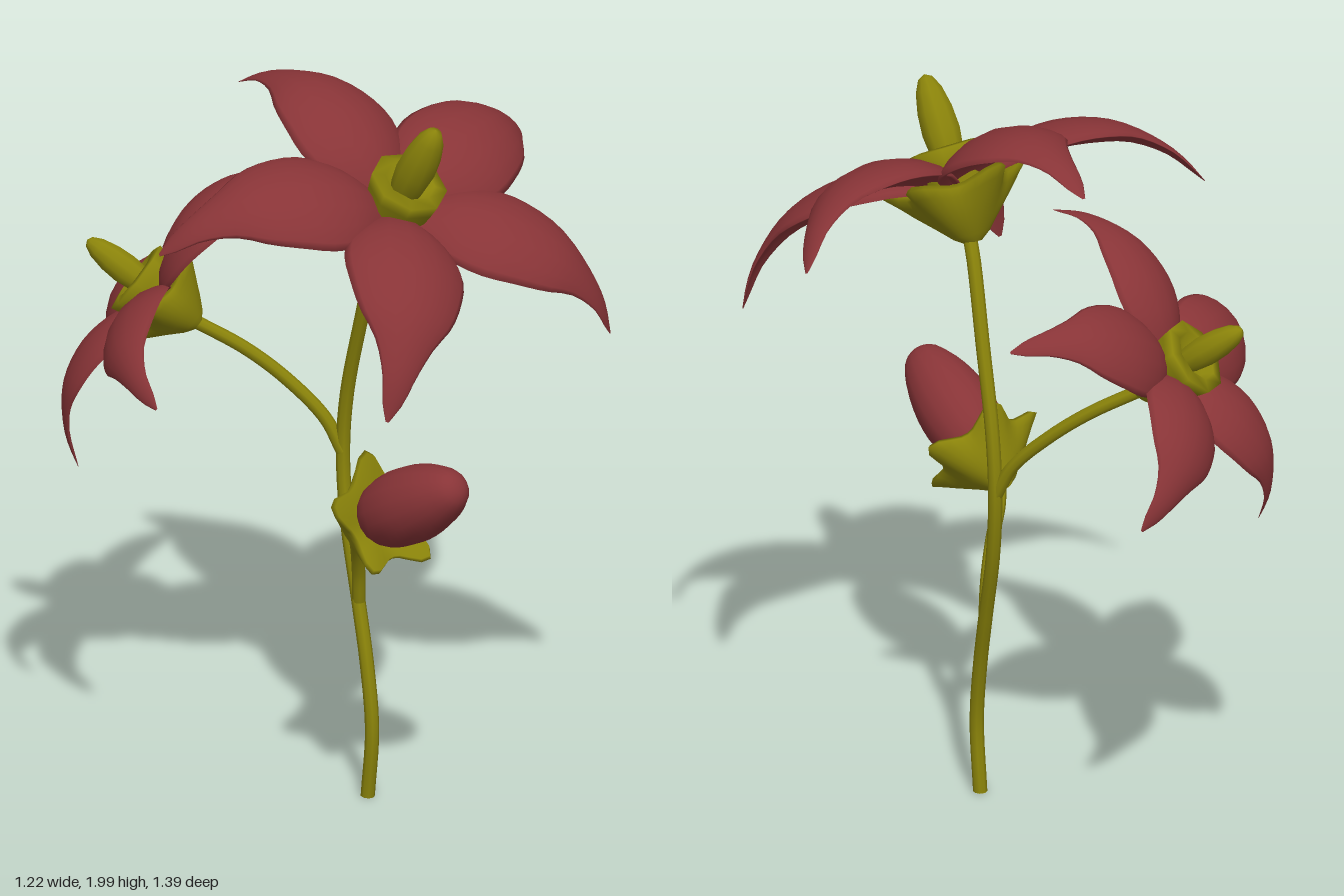
import * as THREE from 'three';

const V = (x, y, z) => new THREE.Vector3(x, y, z);
const UP = V(0, 1, 0);
const red = new THREE.MeshStandardMaterial({ color: 0x883437, side: THREE.DoubleSide });
const green = new THREE.MeshStandardMaterial({ color: 0x8a830a, side: THREE.DoubleSide });

function mesh(name, geometry, material) {
  const m = new THREE.Mesh(geometry, material);
  m.name = name;
  return m;
}

// Skin of closed rings: point(row, angle) gives each vertex
function loft(rows, cols, point) {
  const pos = [], index = [];
  for (let i = 0; i < rows; i++) {
    for (let j = 0; j < cols; j++) {
      pos.push(...point(i, (j / cols) * Math.PI * 2));
      if (i === rows - 1) continue;
      const a = i * cols + j, c = i * cols + ((j + 1) % cols);
      index.push(a, a + cols, c, c, a + cols, c + cols);
    }
  }
  const g = new THREE.BufferGeometry();
  g.setAttribute('position', new THREE.Float32BufferAttribute(pos, 3));
  g.setIndex(index);
  g.computeVertexNormals();
  return g;
}

const spline = (pts) => new THREE.SplineCurve(pts.map(([x, y]) => new THREE.Vector2(x, y)));
const lathe = (pts, sides) => new THREE.LatheGeometry(pts.map(([r, h]) => new THREE.Vector2(r, h)), sides);

// Arched petal running out along +x, with a cupped lens cross-section and a blunt tip
function petalGeometry() {
  const spine = spline([[0.04, -0.02], [0.15, 0.04], [0.3, 0.062], [0.45, 0.03], [0.57, -0.055], [0.645, -0.16]]);
  const width = spline([[0, 0.06], [0.08, 0.1], [0.22, 0.147], [0.4, 0.168], [0.58, 0.157], [0.72, 0.13], [0.87, 0.082], [0.95, 0.05], [0.985, 0.03], [1, 0.004]]);
  const rows = 22;
  return loft(rows, 16, (i, a) => {
    const t = i / (rows - 1);
    const p = spine.getPoint(t), d = spine.getTangent(t);
    const w = width.getPoint(t).y;
    const side = Math.sin(a);
    const thick = 0.14 * w * Math.cos(a);
    const droop = (0.36 - 0.12 * t) * w * side * side;
    return [p.x - d.y * thick, p.y + d.x * thick - droop, -w * side];
  });
}

// Five-pointed cup; rim at height 0, foot at -0.18. Columns: radius, height, lobe depth
function calyxGeometry() {
  const rings = [
    [0.022, -0.185, 0], [0.05, -0.165, 0.01], [0.088, -0.125, 0.05], [0.124, -0.085, 0.11],
    [0.15, -0.05, 0.17], [0.168, -0.024, 0.22], [0.16, -0.014, 0.21], [0.1, -0.035, 0.1], [0.001, -0.05, 0],
  ];
  return loft(rings.length, 40, (i, a) => {
    const [r, h, lobe] = rings[i];
    const star = Math.cos(5 * a) + 0.15 * Math.cos(10 * a);
    const rr = r * (1 + lobe * star);
    return [rr * Math.cos(a), h + 0.06 * lobe * star, rr * Math.sin(a)];
  });
}

const petalShape = petalGeometry();
const calyxShape = calyxGeometry();

// Group whose +y follows the given axis
function head(name, centre, axis, scale) {
  const g = new THREE.Group();
  g.name = name;
  g.position.copy(centre);
  g.quaternion.setFromUnitVectors(UP, axis.clone().normalize());
  g.scale.setScalar(scale);
  return g;
}

// Angle, distance and height of a point around the axis of a head
function around(group, point) {
  const p = point.clone().sub(group.position).applyQuaternion(group.quaternion.clone().invert());
  p.divideScalar(group.scale.x);
  return { angle: Math.atan2(p.z, p.x), radius: Math.hypot(p.x, p.z), height: p.y };
}

function flower(name, centre, axis, scale, tips) {
  const g = head(name, centre, axis, scale);
  // petals aim at their tips
  tips.forEach((tip) => {
    const { angle, radius, height } = around(g, tip);
    const petal = mesh('petal', petalShape, red);
    petal.rotation.set(0, -angle, (height + 0.16) / radius, 'YXZ');
    petal.scale.x = radius / 0.645;
    g.add(petal);
  });
  // sepals lie beneath the petals, slightly turned
  const calyx = mesh('calyx', calyxShape, green);
  calyx.rotation.y = -around(g, tips[0]).angle + 0.15;
  // eight-sided cup, equally wide on each flower, and tapered pistil
  const cup = mesh('centreCup', lathe([[0.085, -0.04], [0.1, 0.035], [0.106, 0.075], [0.07, 0.08], [0.055, 0.045], [0, 0.035]], 8), green);
  cup.scale.set(1 / scale, 1, 1 / scale);
  const pistil = mesh('pistil', lathe([[0.03, 0], [0.046, 0.06], [0.053, 0.12], [0.049, 0.18], [0.037, 0.235], [0.02, 0.268], [0, 0.278]], 10), green);
  g.add(calyx, cup, pistil);
  return g;
}

function bud(centre, axis, scale) {
  const g = head('bud', centre, axis, scale);
  const calyx = mesh('budCalyx', calyxShape, green);
  calyx.rotation.y = Math.PI / 2 - 0.2; // one sepal points nearly up
  const closed = spline([[0.05, -0.08], [0.1, -0.02], [0.12, 0.07], [0.12, 0.16], [0.1, 0.26], [0.065, 0.34], [0.03, 0.37], [0, 0.375]]);
  const petals = mesh('closedPetals', new THREE.LatheGeometry(closed.getPoints(18).map((p) => p.setX(Math.max(0, p.x))), 16), red);
  g.add(calyx, petals);
  return g;
}

function stem(name, radius, points) {
  const curve = new THREE.CatmullRomCurve3(points.map((p) => V(...p)));
  return mesh(name, new THREE.TubeGeometry(curve, 40, radius, 8), green);
}

export function createModel() {
  const model = new THREE.Group();
  model.name = 'flowerSpray';

  // Stems
  model.add(
    stem('mainStem', 0.019, [
      [-0.01, 0.005, 0.148], [-0.013, 0.2, 0.165], [0, 0.37, 0.138], [0.025, 0.54, 0.088], [0.054, 0.75, 0.026],
      [0.066, 0.93, 0.004], [0.06, 1.1, 0.022], [0.035, 1.33, 0.088], [0, 1.55, 0.165], [-0.01, 1.61, 0.195],
    ]),
    stem('backStem', 0.018, [
      [0.064, 0.93, 0.004], [0.045, 1.02, -0.04], [0, 1.12, -0.13], [-0.06, 1.205, -0.225], [-0.15, 1.29, -0.345],
    ]),
    stem('budStem', 0.018, [
      [0.025, 0.53, 0.09], [0.005, 0.63, 0.105], [-0.04, 0.725, 0.135], [-0.1, 0.79, 0.175], [-0.15, 0.84, 0.225],
    ]),
  );
  const foot = mesh('stemFoot', new THREE.CircleGeometry(0.019, 8), green);
  foot.position.set(-0.01, 0.005, 0.148);
  foot.rotation.x = Math.PI / 2;
  model.add(foot);

  // Large flower, facing up and forward
  model.add(flower('largeFlower', V(-0.025, 1.742, 0.268), V(-0.05, 0.87, 0.48), 1, [
    V(0.61, 1.69, 0.14), V(0.37, 1.34, 0.67), V(-0.47, 1.33, 0.58), V(-0.6, 1.68, -0.1), V(0.06, 1.9, -0.34),
  ]));

  // Smaller flower, facing up and back
  model.add(flower('smallFlower', V(-0.202, 1.365, -0.422), V(-0.38, 0.59, -0.7), 0.8, [
    V(-0.17, 1.68, 0.04), V(-0.61, 1.24, -0.09), V(-0.4, 0.9, -0.52), V(0.16, 1.08, -0.68), V(0.335, 1.54, -0.35),
  ]));

  // Closed bud, facing forward
  model.add(bud(V(-0.165, 0.91, 0.335), V(-0.11, 0.5, 0.85), 0.85));
  return model;
}
